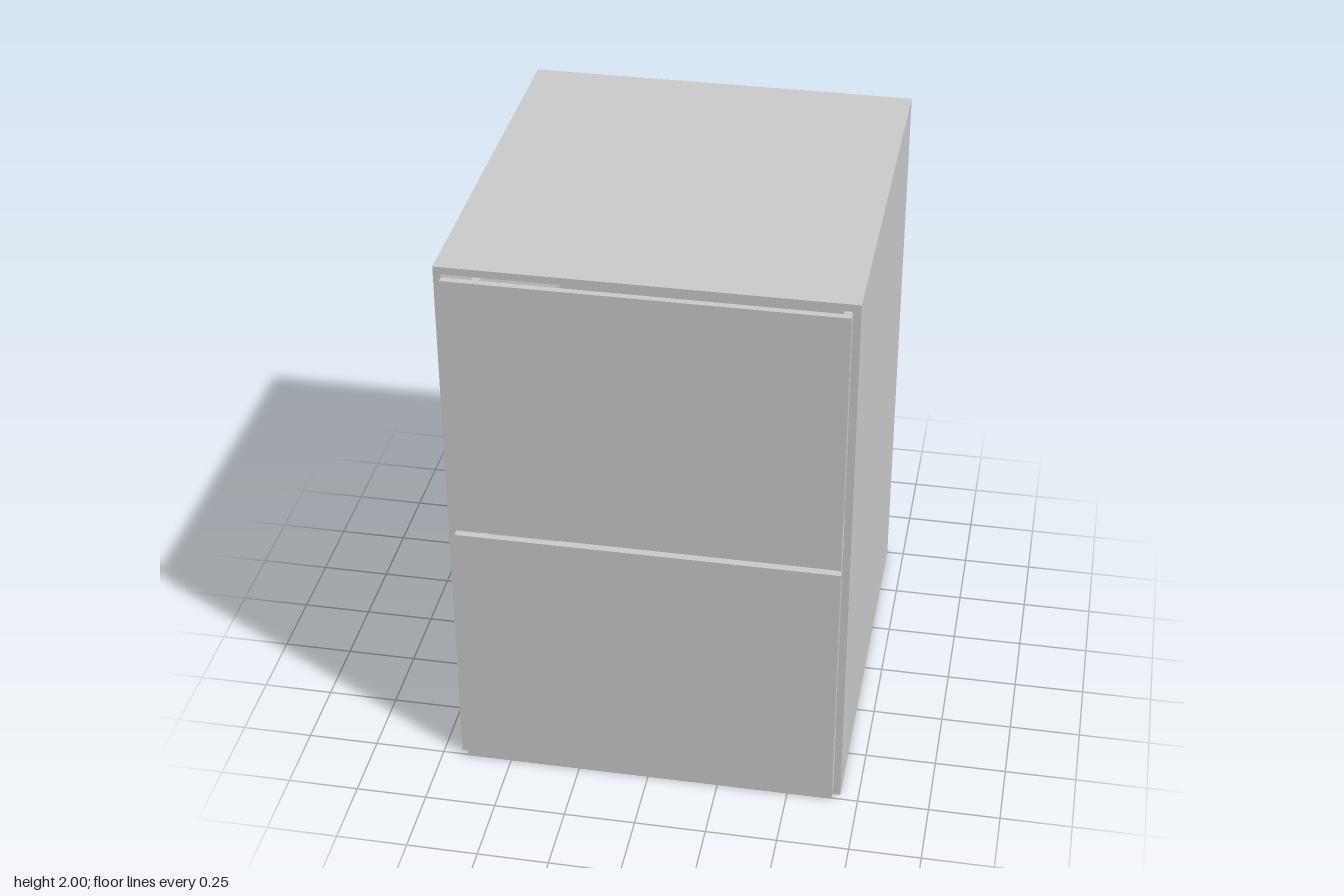
import * as THREE from 'three';

const material = new THREE.MeshStandardMaterial({ color: 0xcccccc });

// Box given by its min and max corners
function box(parent, name, [x0, y0, z0], [x1, y1, z1]) {
  const mesh = new THREE.Mesh(new THREE.BoxGeometry(x1 - x0, y1 - y0, z1 - z0), material);
  mesh.position.set((x0 + x1) / 2, (y0 + y1) / 2, (z0 + z1) / 2);
  mesh.name = name;
  parent.add(mesh);
}

export function createModel() {
  const model = new THREE.Group();
  model.name = 'drawerCabinet';

  const W = 0.686, H = 2, T = 0.026;        // half width, height, board thickness
  const back = -0.755, front = 0.728;       // carcass depth range
  const inner = W - T;

  // Carcass boards
  const carcass = new THREE.Group();
  carcass.name = 'carcass';
  model.add(carcass);
  box(carcass, 'leftSide', [inner, 0, back], [W, H, front]);
  box(carcass, 'rightSide', [-W, 0, back], [-inner, H, front]);
  box(carcass, 'topPanel', [-inner, H - T, back], [inner, H, front]);
  box(carcass, 'bottomPanel', [-inner, 0, back], [inner, T, front]);
  box(carcass, 'backPanel', [-inner, T, back], [inner, H - T, back + T]);

  // Two drawers: a proud front with an open tray behind it
  const drawers = [['lowerDrawer', 0.002, 0.975], ['upperDrawer', 0.996, 1.965]];
  for (const [name, y0, y1] of drawers) {
    const drawer = new THREE.Group();
    drawer.name = name;
    model.add(drawer);
    box(drawer, 'drawerFront', [-0.659, y0, 0.731], [0.659, y1, 0.755]);

    const x = inner - 0.03, b = y0 + 0.06, t = y1 - 0.15, zb = back + 0.08, zf = 0.731;
    box(drawer, 'trayBottom', [-x, b, zb], [x, b + T, zf]);
    box(drawer, 'trayBack', [-x, b + T, zb], [x, t, zb + T]);
    box(drawer, 'trayLeft', [x - T, b + T, zb + T], [x, t, zf]);
    box(drawer, 'trayRight', [-x, b + T, zb + T], [-x + T, t, zf]);
  }
  return model;
}
